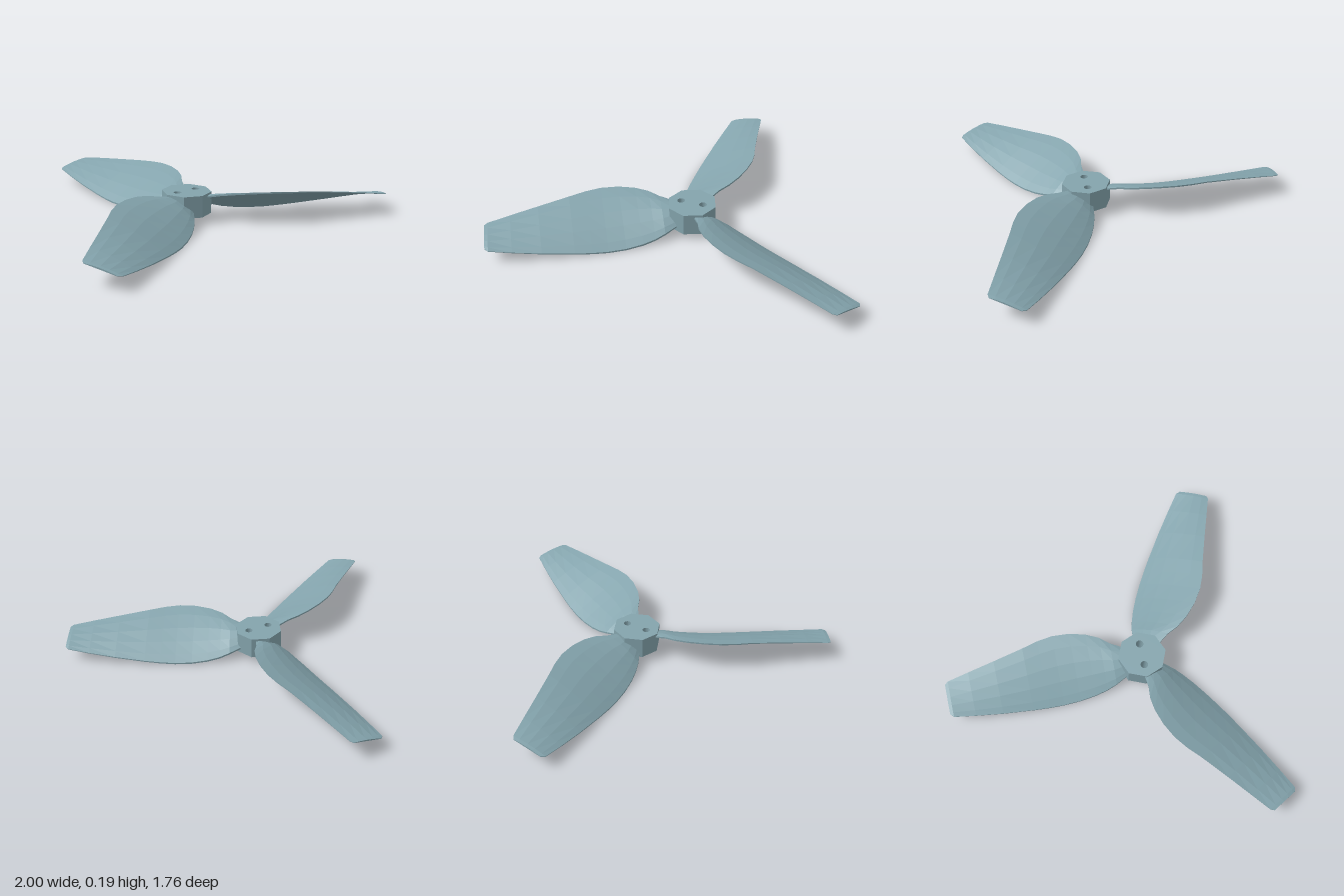
import * as THREE from 'three';

const material = new THREE.MeshStandardMaterial({ color: 0x84a4ad, flatShading: true });

// Blade stations: distance from axis, low edge x, high edge x, low edge y, high edge y, thickness
const STATIONS = [
  [0.10, -0.08, 0.07, 0.062, 0.135, 0.030],
  [0.165, -0.11, 0.10, 0.043, 0.150, 0.032],
  [0.22, -0.127, 0.14, 0.026, 0.164, 0.032],
  [0.29, -0.142, 0.17, 0.013, 0.174, 0.031],
  [0.38, -0.153, 0.19, 0.004, 0.180, 0.029],
  [0.475, -0.159, 0.195, 0.003, 0.180, 0.027],
  [0.56, -0.160, 0.183, 0.008, 0.175, 0.025],
  [0.65, -0.158, 0.160, 0.016, 0.168, 0.022],
  [0.82, -0.150, 0.124, 0.035, 0.149, 0.018],
  [0.97, -0.138, 0.094, 0.054, 0.131, 0.014],
  [1.09, -0.126, 0.070, 0.071, 0.115, 0.010],
  [1.108, -0.108, 0.055, 0.075, 0.111, 0.008],
];
const STEPS = [0, 0.12, 0.32, 0.55, 0.8, 1];

// Lofts cambered sections along -z, with both ends closed
function bladeGeometry() {
  const positions = [];
  const indices = [];
  const n = STEPS.length * 2;
  for (const [r, xl, xr, yl, yr, thick] of STATIONS) {
    const point = (t, upper) => {
      const arch = 4 * t * (1 - t);
      const half = thick * (0.15 + 0.35 * arch);
      const y = yl + (yr - yl) * t + arch * thick * 0.4 + (upper ? half : -half);
      positions.push(xl + (xr - xl) * t, y, -r);
    };
    STEPS.forEach((t) => point(t, true));
    [...STEPS].reverse().forEach((t) => point(t, false));
  }
  for (let i = 0; i < STATIONS.length - 1; i++) {
    for (let j = 0; j < n; j++) {
      const k = (j + 1) % n;
      const a = i * n + j, b = i * n + k, c = b + n, d = a + n;
      indices.push(a, b, c, a, c, d);
    }
  }
  const last = (STATIONS.length - 1) * n;
  for (let j = 0; j < STEPS.length - 1; j++) {
    const a = j, b = j + 1, c = n - 2 - j, d = n - 1 - j;
    indices.push(a, c, b, a, d, c);
    indices.push(last + a, last + b, last + c, last + a, last + c, last + d);
  }
  const geometry = new THREE.BufferGeometry();
  geometry.setAttribute('position', new THREE.Float32BufferAttribute(positions, 3));
  geometry.setIndex(indices);
  const flat = geometry.toNonIndexed();
  flat.computeVertexNormals();
  return flat;
}

// Octagonal hub with two through holes
function hubGeometry() {
  const shape = new THREE.Shape();
  for (let i = 0; i < 8; i++) {
    const a = (i * Math.PI) / 4;
    const x = 0.135 * Math.cos(a), y = 0.135 * Math.sin(a);
    if (i === 0) shape.moveTo(x, y);
    else shape.lineTo(x, y);
  }
  shape.closePath();
  for (const side of [-1, 1]) {
    const hole = new THREE.Path();
    hole.absarc(side * 0.0625, 0, 0.021, 0, Math.PI * 2, true);
    shape.holes.push(hole);
  }
  const geometry = new THREE.ExtrudeGeometry(shape, { depth: 0.12, bevelEnabled: false, curveSegments: 16 });
  geometry.rotateX(-Math.PI / 2);
  geometry.translate(0, 0.035, 0);
  return geometry;
}

export function createModel() {
  const model = new THREE.Group();
  model.name = 'propeller';

  const rotor = new THREE.Group();
  rotor.name = 'rotor';
  rotor.position.set(-0.015, 0, 0.225);
  model.add(rotor);

  const hub = new THREE.Mesh(hubGeometry(), material);
  hub.name = 'hub';
  rotor.add(hub);

  // Three identical blades around the hub
  const geometry = bladeGeometry();
  ['backBlade', 'leftBlade', 'rightBlade'].forEach((name, i) => {
    const blade = new THREE.Mesh(geometry, material);
    blade.name = name;
    blade.rotation.y = (-i * Math.PI * 2) / 3;
    rotor.add(blade);
  });

  return model;
}
